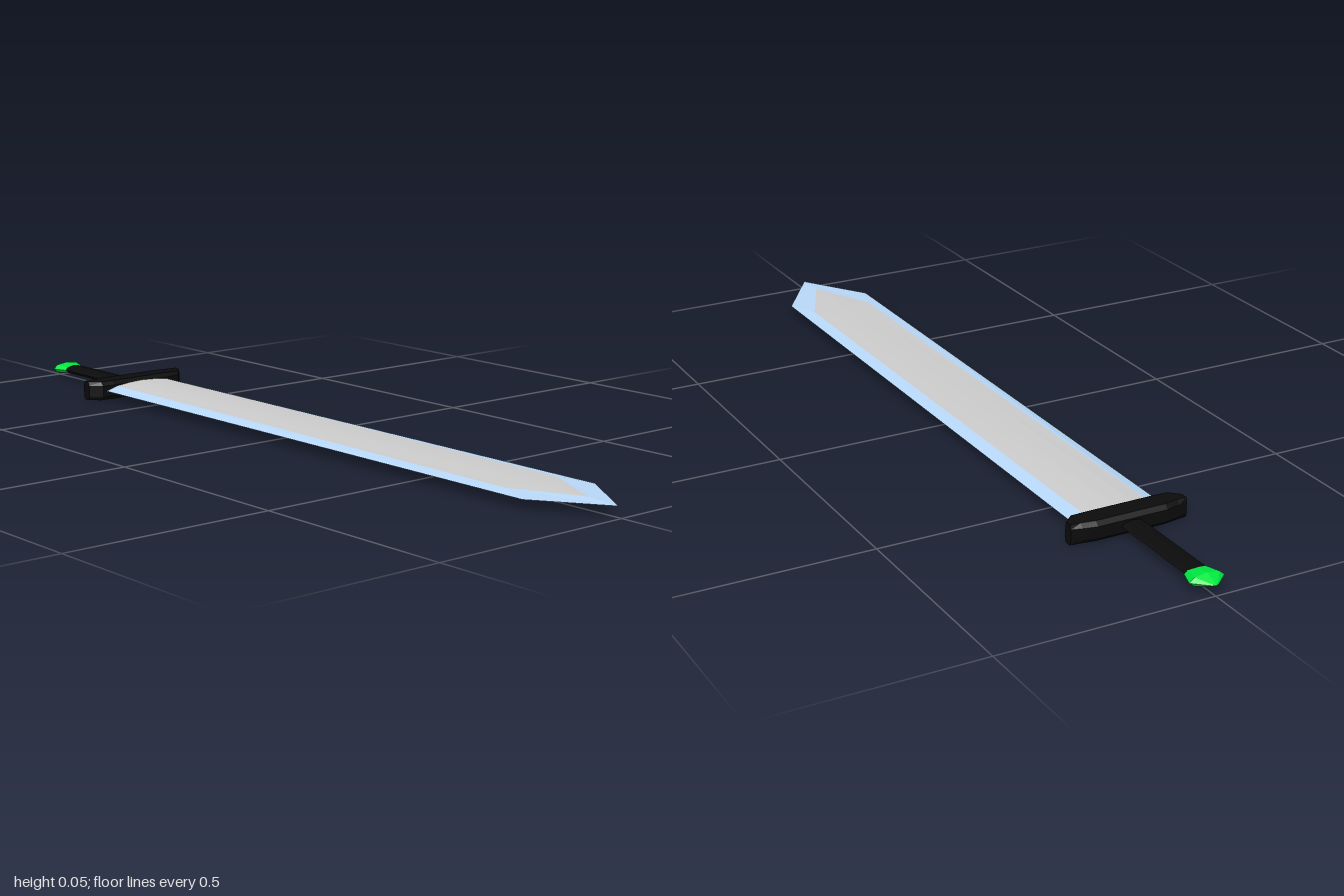
import * as THREE from 'three';

const MID = 0.0235; // height of the sword's centre plane

function material(color, extra = {}) {
  return new THREE.MeshStandardMaterial({ color, flatShading: true, ...extra });
}

function addMesh(group, name, geometry, mat) {
  const mesh = new THREE.Mesh(geometry, mat);
  mesh.name = name;
  mesh.position.y = MID;
  group.add(mesh);
}

// Collects triangles, reversing the corner order for mirrored sides
function surface() {
  const pos = [];
  const tri = (a, b, c, flip) => pos.push(...a, ...(flip ? c : b), ...(flip ? b : c));
  return {
    tri,
    quad(a, b, c, d, flip) { tri(a, b, c, flip); tri(a, c, d, flip); },
    geometry() {
      const g = new THREE.BufferGeometry();
      g.setAttribute('position', new THREE.Float32BufferAttribute(pos, 3));
      g.computeVertexNormals();
      return g;
    },
  };
}

const ROOT = -0.65;
const INNER = 0.077, OUTER = 0.108;
// Blade thins steadily from guard to point
const taper = z => 1 - 0.62 * (z - ROOT) / (0.91 - ROOT);

// Gently crowned flat of the blade, top and bottom
function bladeFlats() {
  const s = surface();
  const cols = [[-INNER, 0.0105], [-0.04, 0.0145], [0, 0.016], [0.04, 0.0145], [INNER, 0.0105]];
  const rows = [ROOT, 0, 0.75];
  for (const side of [1, -1]) {
    const p = (i, z) => [cols[i][0], side * cols[i][1] * taper(z), z];
    const tip = [0, side * 0.0105 * taper(0.91), 0.91];
    for (let i = 0; i < cols.length - 1; i++) {
      for (let r = 0; r < rows.length - 1; r++) {
        s.quad(p(i, rows[r]), p(i, rows[r + 1]), p(i + 1, rows[r + 1]), p(i + 1, rows[r]), side < 0);
      }
      s.tri(p(i, 0.75), tip, p(i + 1, 0.75), side < 0);
    }
  }
  return s.geometry();
}

// Sharpened bevels running round to the point
function bladeEdges() {
  const s = surface();
  const inner = [[INNER, ROOT], [INNER, 0.75], [0, 0.91]];
  const outer = [[OUTER, ROOT], [OUTER, 0.83], [0, 0.99]];
  for (const side of [1, -1]) {
    for (const m of [1, -1]) {
      const a = inner.map(([x, z]) => [m * x, side * 0.0105 * taper(z), z]);
      const b = outer.map(([x, z]) => [m * x, 0, z]);
      for (let i = 0; i < 2; i++) s.quad(a[i], a[i + 1], b[i + 1], b[i], side * m < 0);
    }
  }
  return s.geometry();
}

// Crossguard: a box with chamfered long edges and narrowed ends
function guardGeometry() {
  const g = new THREE.BoxGeometry(1, 1, 1, 5, 3, 1);
  const xs = [-0.142, -0.118, -0.085, 0.085, 0.118, 0.142];
  const front = [-0.655, -0.628, -0.625, -0.625, -0.628, -0.655];
  const back = [-0.678, -0.685, -0.692, -0.692, -0.685, -0.678];
  const ys = [-MID, -0.014, 0.014, MID];
  const p = g.attributes.position;
  for (let k = 0; k < p.count; k++) {
    const i = Math.round((p.getX(k) + 0.5) * 5);
    const j = Math.round((p.getY(k) + 0.5) * 3);
    const mid = (front[i] + back[i]) / 2;
    const z = p.getZ(k) > 0 ? front[i] : back[i];
    p.setXYZ(k, xs[i], ys[j], mid + (z - mid) * (j % 3 ? 1 : 0.7));
  }
  g.computeVertexNormals();
  return g;
}

// Flattened eight-sided turning along -z; profile is [radius, distance]
function flatLathe(profile, flatness) {
  const g = new THREE.LatheGeometry(profile.map(([r, d]) => new THREE.Vector2(r, d)), 8);
  g.rotateX(-Math.PI / 2);
  g.scale(1, flatness, 1);
  return g;
}

export function createModel() {
  const sword = new THREE.Group();
  sword.name = 'sword';
  const black = material(0x0b0b0b);

  addMesh(sword, 'bladeFlats', bladeFlats(), material(0xcccccc, { side: THREE.DoubleSide }));
  addMesh(sword, 'bladeEdges', bladeEdges(), material(0xb8d8f8, { side: THREE.DoubleSide }));
  addMesh(sword, 'crossguard', guardGeometry(), black);
  addMesh(sword, 'grip', flatLathe([[0, 0.66], [0.028, 0.66], [0.028, 0.94], [0, 0.94]], 0.38), black);
  addMesh(sword, 'pommelGem',
    flatLathe([[0, 0.93], [0.03, 0.93], [0.042, 0.967], [0.007, 0.998], [0, 1]], 0.34),
    material(0x00e640));
  return sword;
}
